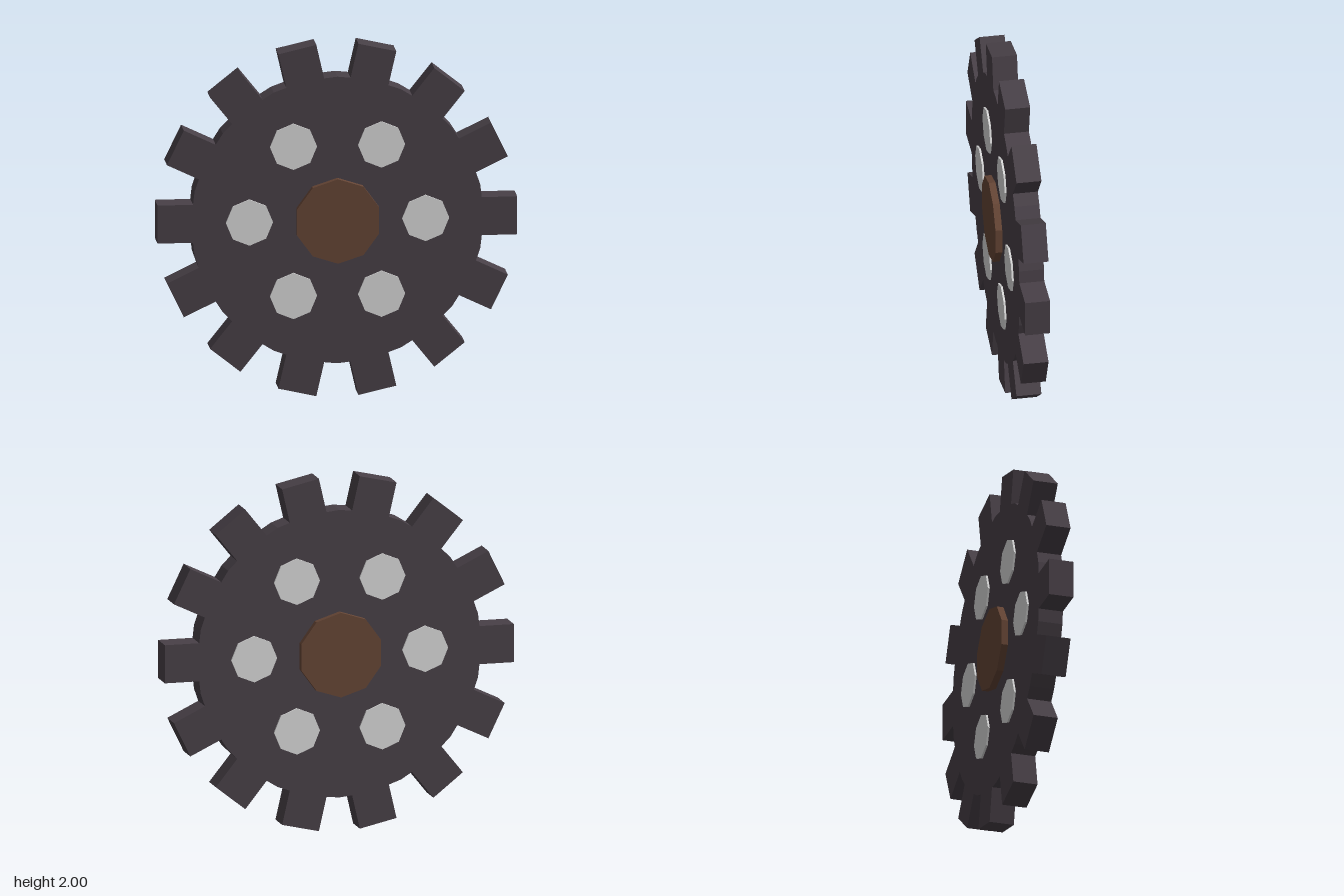
import * as THREE from 'three';

const TEETH = 14, BOLTS = 6, CENTRE_Y = 1;

export function createModel() {
  const group = new THREE.Group();
  const iron = new THREE.MeshStandardMaterial({ name: 'darkIron', color: 0x484047 });
  const rust = new THREE.MeshStandardMaterial({ name: 'rustBrown', color: 0x654535 });
  const steel = new THREE.MeshStandardMaterial({ name: 'paleSteel', color: 0xd8d8d8 });

  const add = (name, geometry, material, x = 0, y = 0) => {
    const mesh = new THREE.Mesh(geometry, material);
    mesh.name = name;
    mesh.position.set(x, CENTRE_Y + y, 0);
    group.add(mesh);
  };

  // Faceted disc lying along z, with one vertex pointing up
  const plug = (radius, depth, sides) =>
    new THREE.CylinderGeometry(radius, radius, depth, sides)
      .rotateX(-Math.PI / 2)
      .toNonIndexed();
  const faceted = (geometry) => { geometry.computeVertexNormals(); return geometry; };

  // Toothed wheel: straight-sided teeth with one rim vertex in each gap
  const step = (Math.PI * 2) / TEETH;
  const outline = [];
  for (let i = 0; i < TEETH; i++) {
    const points = [[0.803, -0.108], [1, -0.108], [1, 0.108], [0.803, 0.108]];
    for (const [x, y] of points) {
      outline.push(new THREE.Vector2(x, y).rotateAround(new THREE.Vector2(), i * step));
    }
    const gap = (i + 0.5) * step;
    outline.push(new THREE.Vector2(Math.cos(gap) * 0.815, Math.sin(gap) * 0.815));
  }
  const wheel = new THREE.ExtrudeGeometry(new THREE.Shape(outline), { depth: 0.14, bevelEnabled: false });
  wheel.translate(0, 0, -0.07);
  add('toothedWheel', wheel, iron);

  // Hub through the middle
  add('hub', faceted(plug(0.24, 0.216, 10)), rust);

  // Ring of bolts showing on both faces
  for (let i = 0; i < BOLTS; i++) {
    const a = (i / BOLTS) * Math.PI * 2;
    add('bolt' + (i + 1), faceted(plug(0.131, 0.162, 8)), steel, Math.cos(a) * 0.49, Math.sin(a) * 0.49);
  }
  return group;
}
